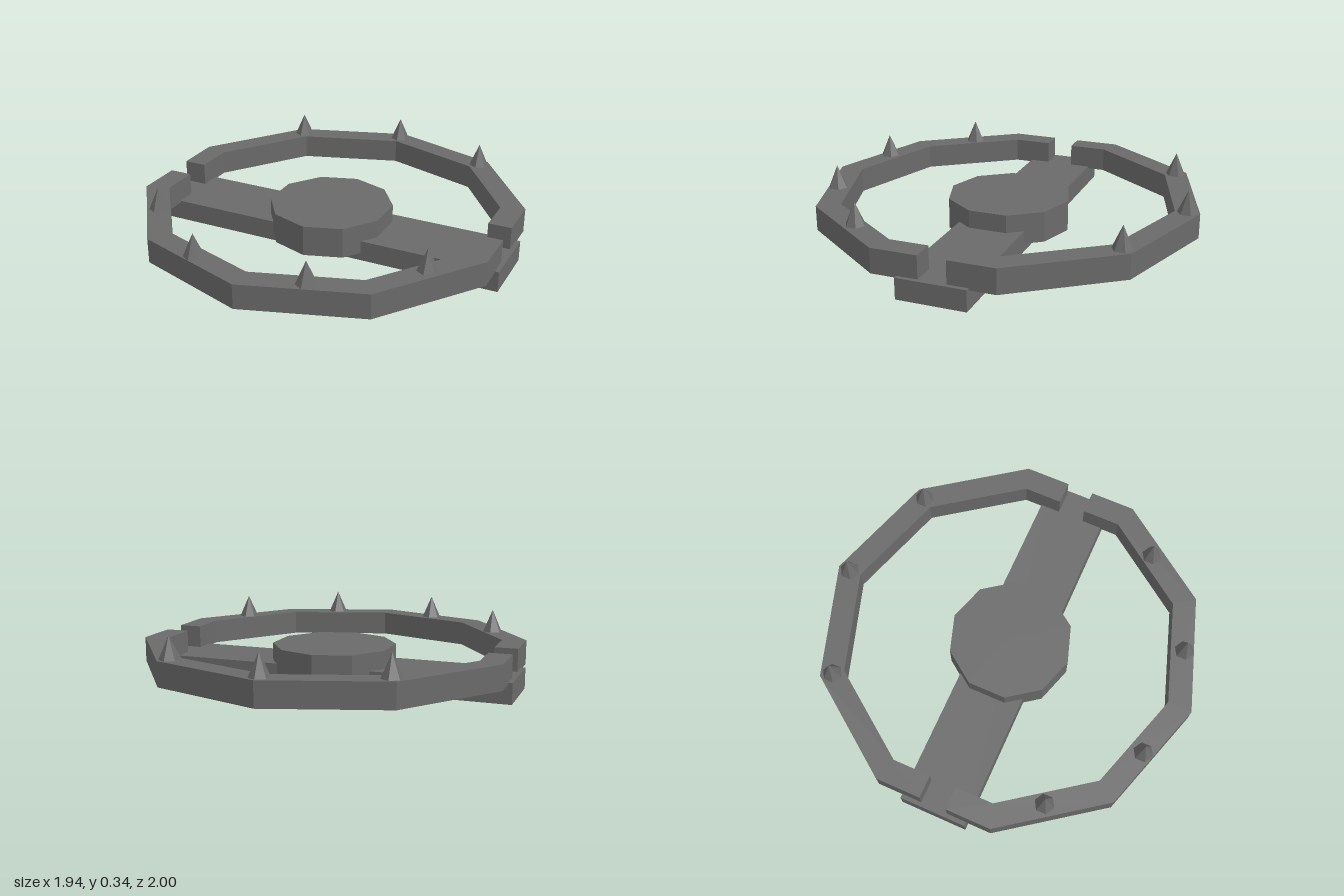
import * as THREE from 'three';

const material = new THREE.MeshStandardMaterial({ color: 0x6a6a6b, flatShading: true });

function add(parent, name, geometry, x = 0, y = 0, z = 0) {
  const mesh = new THREE.Mesh(geometry, material);
  mesh.name = name;
  mesh.position.set(x, y, z);
  parent.add(mesh);
  return mesh;
}

export function createModel() {
  const model = new THREE.Group();
  model.name = 'spikedJawTrap';

  // Flat bar across the bottom
  add(model, 'baseBar', new THREE.BoxGeometry(1.944, 0.108, 0.354), 0, 0.054, 0);

  // Ten-sided trigger plate
  add(model, 'triggerPlate', new THREE.CylinderGeometry(0.323, 0.323, 0.16, 10), 0, 0.121, 0);

  // Half-ring outline: outer edge, then back along the inner edge
  const outer = [[0.95, 0.071], [0.95, 0.309], [0.588, 0.809], [0, 1]];
  const inner = [[0.83, 0.071], [0.83, 0.27], [0.514, 0.707], [0, 0.874]];
  const mirrored = (side) => side.slice(0, 3).reverse().map(([x, z]) => [-x, z]);
  const outline = [
    ...outer, ...mirrored(outer),
    ...[...inner, ...mirrored(inner)].reverse(),
  ];
  const jawGeometry = new THREE.ExtrudeGeometry(
    new THREE.Shape(outline.map(([x, z]) => new THREE.Vector2(x, z))),
    { depth: 0.127, bevelEnabled: false },
  );
  jawGeometry.rotateX(Math.PI / 2).translate(0, 0.225, 0);

  // Two jaws, each with its own spikes (positions in x, z)
  const spikeGeometry = new THREE.ConeGeometry(0.053, 0.12, 6);
  const jaws = [
    { name: 'frontJaw', turn: 0, spikes: [[-0.73, 0.503], [-0.294, 0.852], [0.294, 0.852], [0.73, 0.503]] },
    { name: 'backJaw', turn: Math.PI, spikes: [[-0.55, 0.757], [0, 0.937], [0.55, 0.757]] },
  ];
  for (const { name, turn, spikes } of jaws) {
    const jaw = new THREE.Group();
    jaw.name = name;
    jaw.rotation.y = turn;
    add(jaw, name + 'Ring', jawGeometry);
    for (const [x, z] of spikes) add(jaw, 'spike', spikeGeometry, x, 0.282, z);
    model.add(jaw);
  }

  return model;
}
